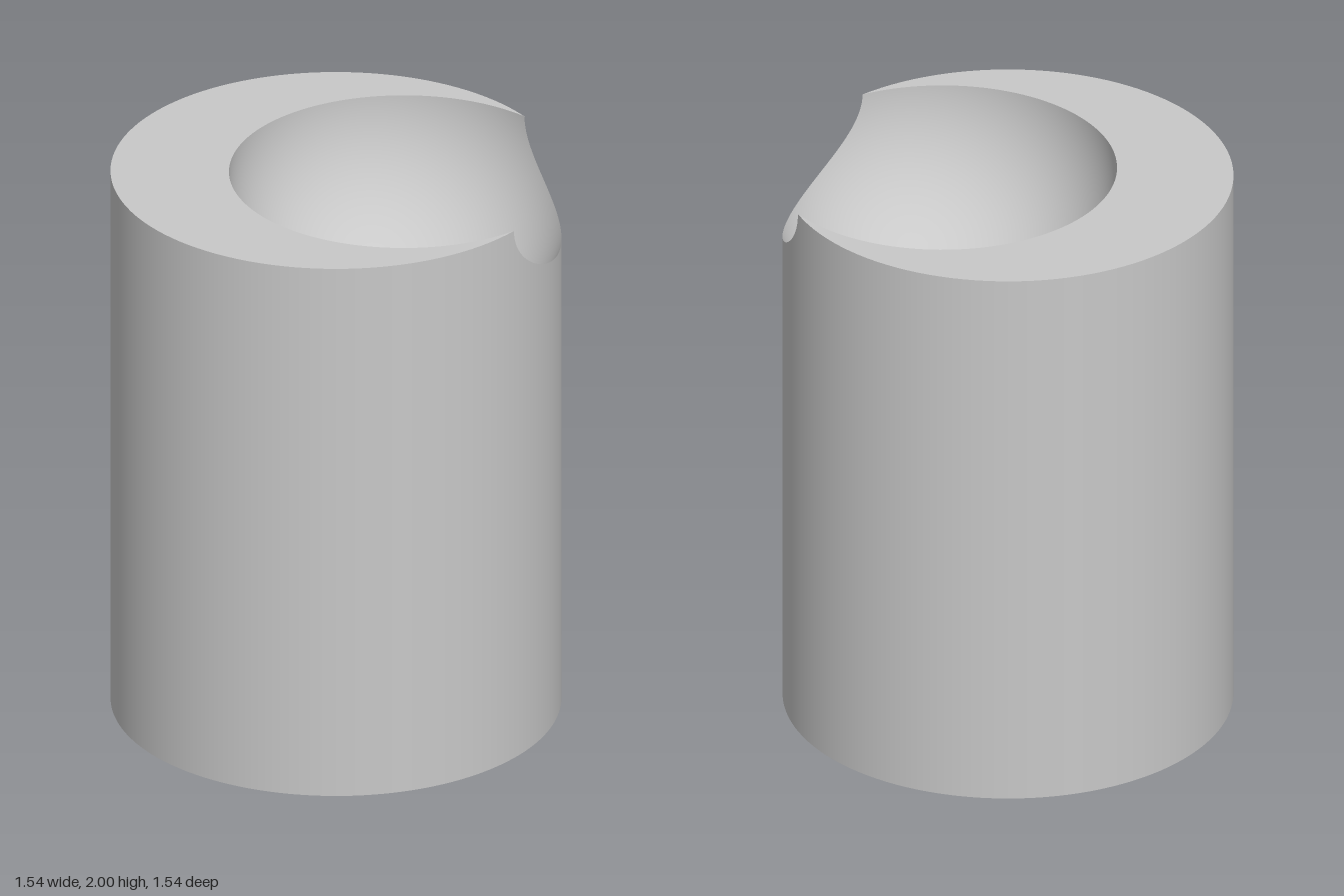
import * as THREE from 'three';

const RADIUS = 0.77, HEIGHT = 2;
const BOWL = { x: 0.175, z: -0.152, r: 0.597 }; // hemisphere centred on the top plane

// Points along an arc in the x/z plane; eased spacing crowds both ends
function arc(cx, cz, r, from, to, n, eased = false) {
  return Array.from({ length: n + 1 }, (_, i) => {
    const t = eased ? (1 - Math.cos(Math.PI * i / n)) / 2 : i / n;
    const a = from + (to - from) * t;
    return { x: cx + r * Math.cos(a), z: cz + r * Math.sin(a) };
  });
}

// Height of the hollow's surface above a point
function bowlHeight({ x, z }) {
  const rho = Math.hypot(x - BOWL.x, z - BOWL.z);
  return HEIGHT - Math.sqrt(Math.max(0, BOWL.r ** 2 - rho ** 2));
}

// Surface from a grid of columns and rows, with a normal rule
function grid(columns, rows, point, normal, flip) {
  const positions = [], normals = [], index = [];
  for (let i = 0; i < columns; i++) {
    for (let j = 0; j <= rows; j++) {
      const p = point(i, j / rows);
      positions.push(p.x, p.y, p.z);
      normals.push(...normal(p).normalize().toArray());
      if (i === columns - 1 || j === rows) continue;
      const a = i * (rows + 1) + j, b = a + rows + 1;
      if (flip) index.push(a, a + 1, b, b, a + 1, b + 1);
      else index.push(a, b, a + 1, b, b + 1, a + 1);
    }
  }
  const geometry = new THREE.BufferGeometry();
  geometry.setAttribute('position', new THREE.Float32BufferAttribute(positions, 3));
  geometry.setAttribute('normal', new THREE.Float32BufferAttribute(normals, 3));
  geometry.setIndex(index);
  return geometry;
}

export function createModel() {
  const group = new THREE.Group();
  group.name = 'hollowedCylinder';
  const grey = new THREE.MeshStandardMaterial({ color: 0xc8c8c8 });
  grey.name = 'light grey';
  const add = (name, geometry) => {
    const mesh = new THREE.Mesh(geometry, grey);
    mesh.name = name;
    group.add(mesh);
    return mesh;
  };

  // Where the hollow's rim crosses the cylinder's edge
  const d = Math.hypot(BOWL.x, BOWL.z), dir = Math.atan2(BOWL.z, BOWL.x);
  const alpha = Math.acos((RADIUS ** 2 + d ** 2 - BOWL.r ** 2) / (2 * RADIUS * d));
  const beta = Math.acos((RADIUS ** 2 - d ** 2 - BOWL.r ** 2) / (2 * d * BOWL.r));
  const full = 2 * Math.PI;
  const notch = arc(0, 0, RADIUS, dir - alpha, dir + alpha, 48, true);
  const outer = arc(0, 0, RADIUS, dir + alpha, dir + full - alpha, 96);
  const inner = arc(BOWL.x, BOWL.z, BOWL.r, dir + beta, dir + full - beta, 96);

  // Outer wall, dipping where the hollow breaks through
  const wallTop = [
    ...notch.map(p => ({ ...p, y: bowlHeight(p) })),
    ...outer.map(p => ({ ...p, y: HEIGHT })),
  ];
  add('wall', grid(wallTop.length, 1,
    (i, t) => new THREE.Vector3(wallTop[i].x, wallTop[i].y * t, wallTop[i].z),
    p => new THREE.Vector3(p.x, 0, p.z), true));

  // Spherical hollow, from its lowest point out to the rim
  const rim = [...notch, ...inner];
  const centre = new THREE.Vector3(BOWL.x, HEIGHT, BOWL.z);
  add('hollow', grid(rim.length, 32, (i, t) => {
    const dx = rim[i].x - BOWL.x, dz = rim[i].z - BOWL.z;
    const rho = Math.hypot(dx, dz);
    const polar = Math.asin(Math.min(1, rho / BOWL.r)) * t;
    const s = BOWL.r * Math.sin(polar) / rho;
    return new THREE.Vector3(BOWL.x + dx * s, HEIGHT - BOWL.r * Math.cos(polar), BOWL.z + dz * s);
  }, p => centre.clone().sub(p), false));

  // Crescent-shaped top face
  const crescent = new THREE.Shape(
    [...outer, ...inner.slice(1, -1).reverse()].map(p => new THREE.Vector2(p.x, -p.z)));
  add('topFace', new THREE.ShapeGeometry(crescent).rotateX(-Math.PI / 2)).position.y = HEIGHT;

  // Base
  add('base', new THREE.CircleGeometry(RADIUS, 128).rotateX(Math.PI / 2));

  return group;
}
